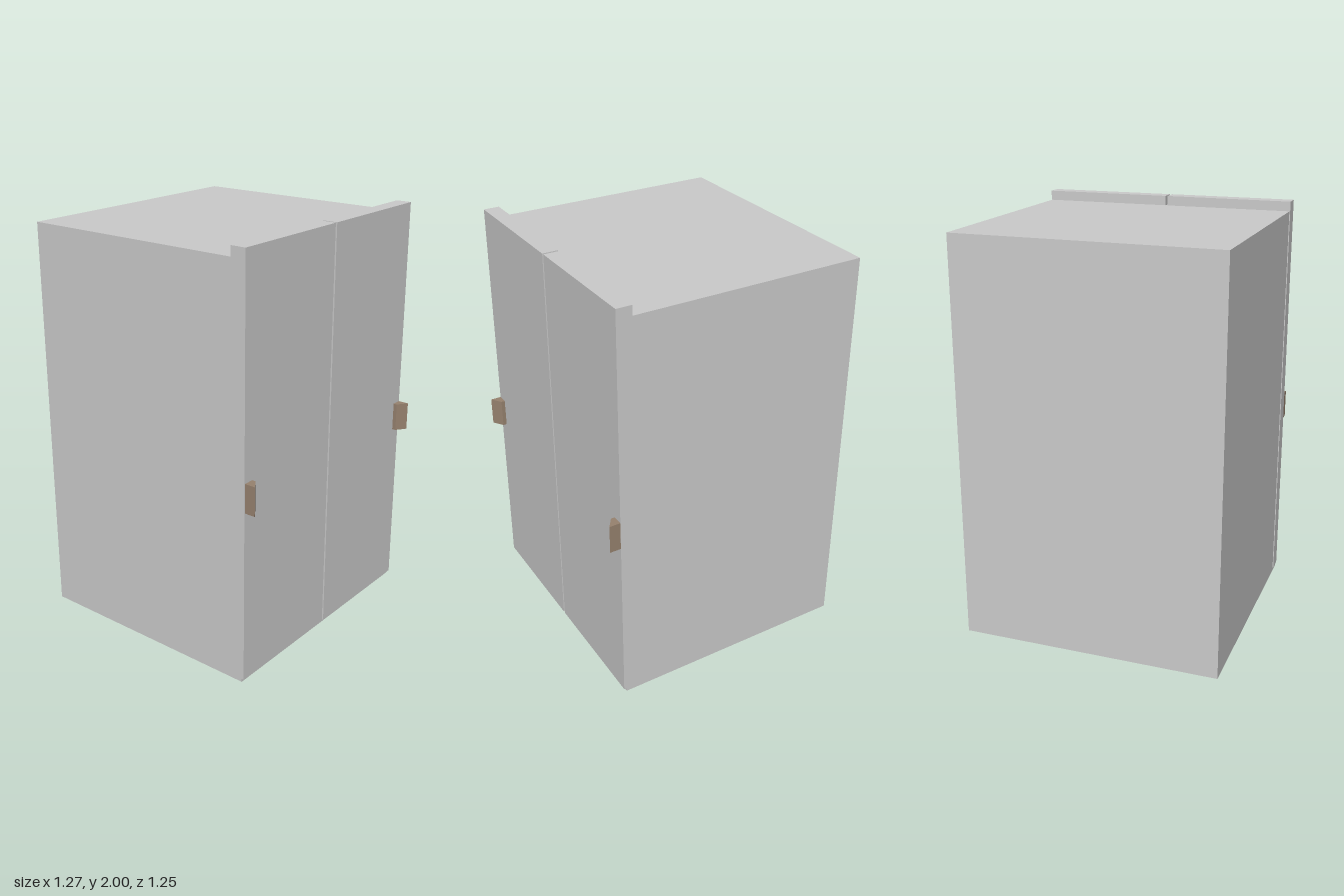
import * as THREE from 'three';

export function createModel() {
  const group = new THREE.Group();
  group.name = 'cabinet';
  const grey = new THREE.MeshStandardMaterial({ color: 0xcccccc, flatShading: true });
  const brown = new THREE.MeshStandardMaterial({ color: 0x97826f, flatShading: true });

  function add(name, geometry, material) {
    const mesh = new THREE.Mesh(geometry, material);
    mesh.name = name;
    group.add(mesh);
  }

  // Box given by its lower and upper limits on each axis
  function box(name, [x0, x1], [y0, y1], [z0, z1], material) {
    const geometry = new THREE.BoxGeometry(x1 - x0, y1 - y0, z1 - z0);
    geometry.translate((x0 + x1) / 2, (y0 + y1) / 2, (z0 + z1) / 2);
    add(name, geometry, material);
  }

  // Main carcass
  box('body', [-0.632, 0.632], [0, 1.953], [-0.628, 0.56], grey);

  // Doors, with a narrow gap between them
  box('leftDoor', [0.004, 0.634], [0.019, 2], [0.499, 0.574], grey);
  box('rightDoor', [-0.636, -0.007], [0.019, 2], [0.499, 0.574], grey);

  // Thin latch strip in the gap
  box('latch', [-0.007, 0.004], [0.857, 0.995], [0.555, 0.562], brown);

  // Wedge handles, deepest at the outer edges
  for (const side of [1, -1]) {
    const profile = new THREE.Shape([
      [0.583, 0.574], [0.633, 0.574], [0.633, 0.627], [0.583, 0.592],
    ].map(([x, z]) => new THREE.Vector2(side * x, -z)));
    const geometry = new THREE.ExtrudeGeometry(profile, { depth: 0.138, bevelEnabled: false });
    geometry.rotateX(-Math.PI / 2).translate(0, 0.857, 0);
    add(side > 0 ? 'leftHandle' : 'rightHandle', geometry, brown);
  }

  return group;
}
